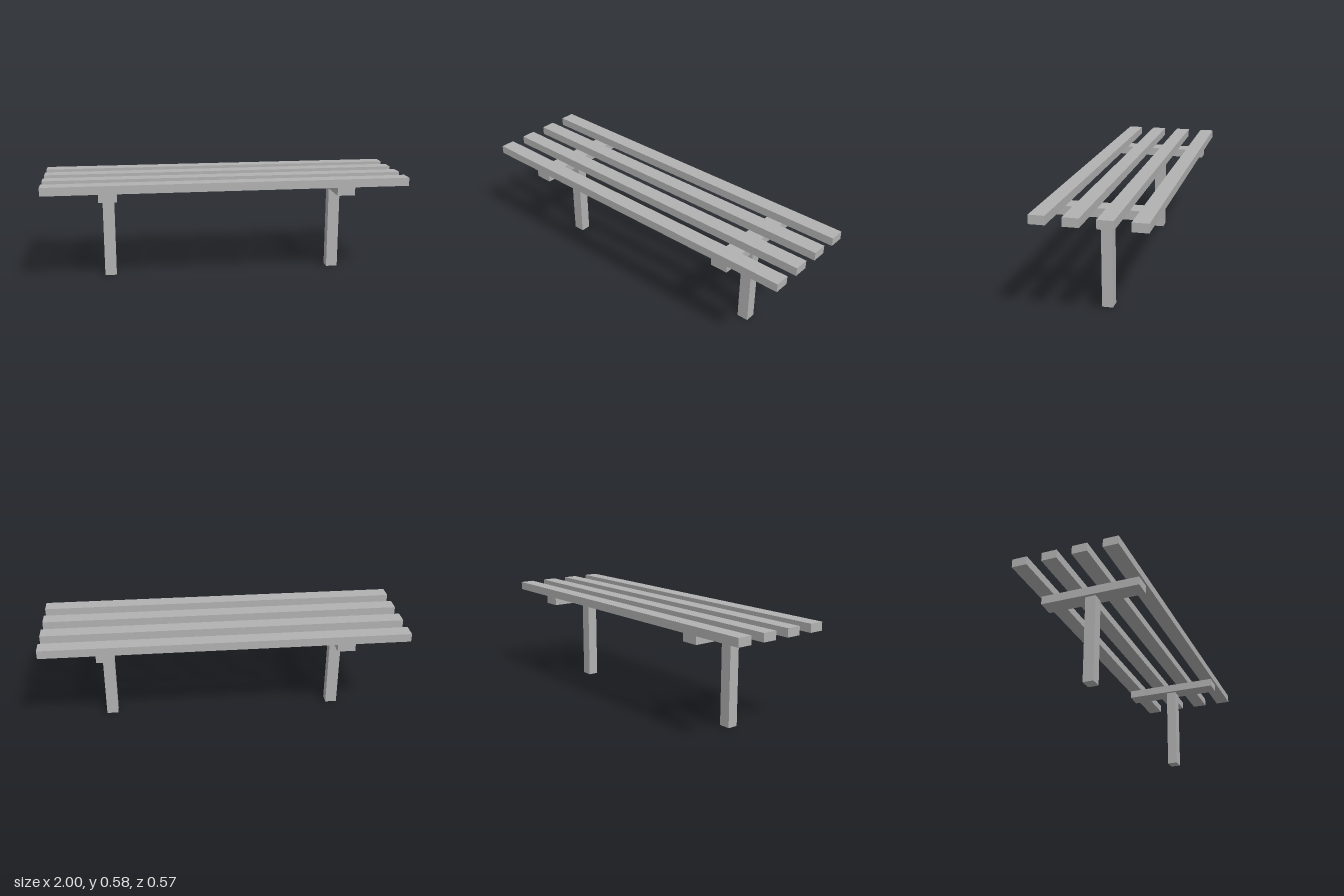
import * as THREE from 'three';

export function createModel() {
  const bench = new THREE.Group();
  bench.name = 'slattedBench';

  const grey = new THREE.MeshStandardMaterial({ color: 0xb2b2b2 });
  grey.name = 'grey';

  // Box given by its size and the height of its underside
  function addBox(name, width, height, depth, x, bottom, z) {
    const mesh = new THREE.Mesh(new THREE.BoxGeometry(width, height, depth), grey);
    mesh.name = name;
    mesh.position.set(x, bottom + height / 2, z);
    bench.add(mesh);
  }

  // Four long seat slats, evenly spaced from back to front
  for (let i = 0; i < 4; i++) {
    addBox(`seatSlat${i + 1}`, 2, 0.046, 0.082, 0, 0.532, (i - 1.5) * 0.1635);
  }

  // A post and a crossbar at each end
  for (const [side, x] of [['right', -0.649], ['left', 0.649]]) {
    addBox(`${side}Crossbar`, 0.098, 0.047, 0.552, x, 0.485, 0);
    addBox(`${side}Post`, 0.065, 0.485, 0.058, x, 0, 0);
  }

  return bench;
}
